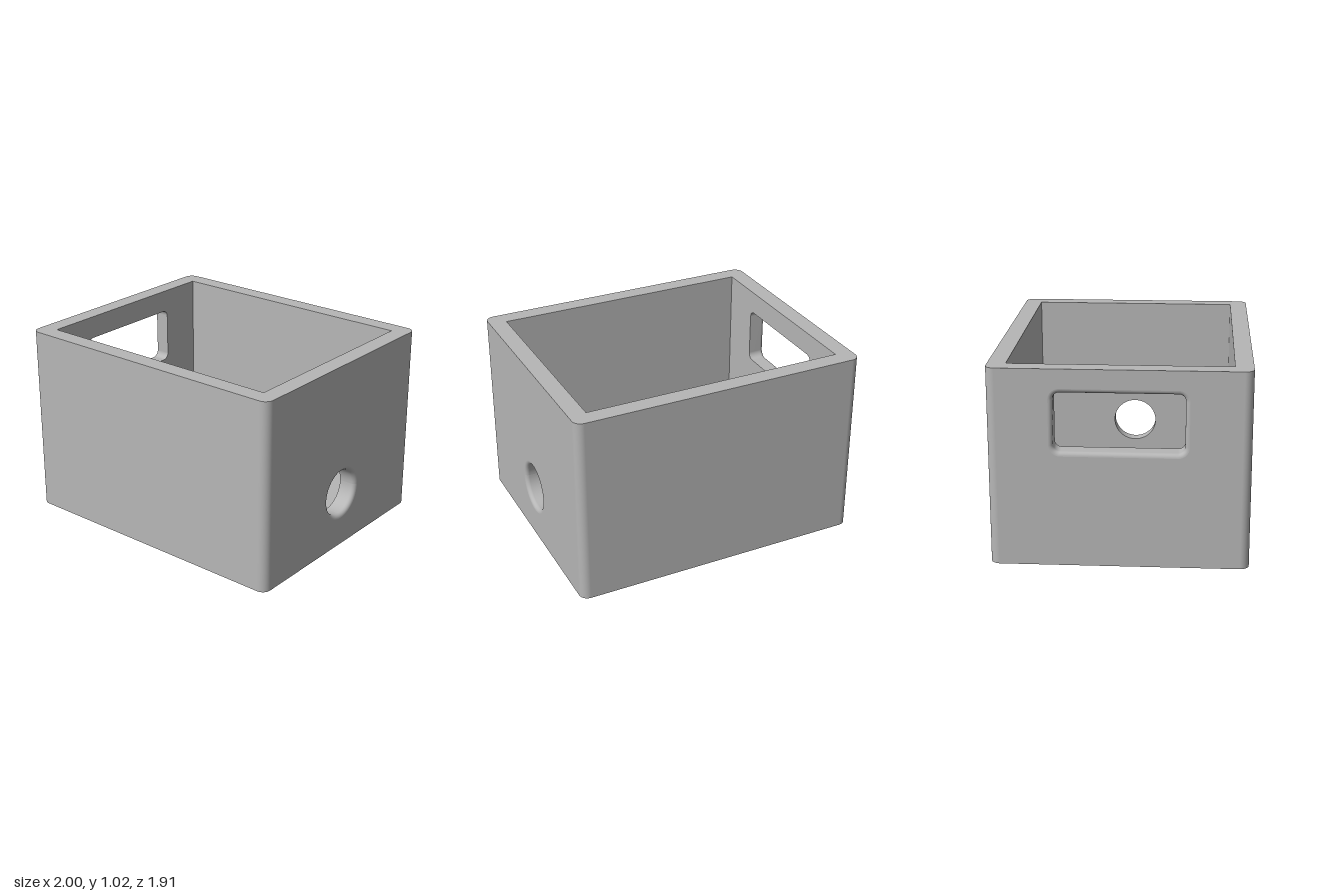
import * as THREE from 'three';

const L = 1.584, W = 1.305, H = 1.025;  // outer length, width, height
const T = 0.093;                        // wall and floor thickness
const R = 0.0466;                       // radius of the upright corners
const LIP = 0.022;                      // rounding of the opening edges

const material = new THREE.MeshStandardMaterial({ color: 0xb6b6b6 });
material.name = 'plain grey';

// Counter-clockwise rounded rectangle; a circle when all sizes are equal
function outline(hw, hh, r, cy = 0, steps = 16) {
  const points = [];
  for (let k = 0; k < 4; k++) {
    const sx = k === 0 || k === 3 ? 1 : -1, sy = k < 2 ? 1 : -1;
    for (let i = 0; i <= steps; i++) {
      const a = (k + i / steps) * Math.PI / 2;
      points.push(new THREE.Vector2(sx * (hw - r) + r * Math.cos(a), cy + sy * (hh - r) + r * Math.sin(a)));
    }
  }
  return points;
}

// Outline of an opening, enlarged by d
const openingOutline = (o, d) => outline(o.hw + d, o.hh + d, o.r + d, o.cy);

function mesh(name, geometry, parent) {
  const m = new THREE.Mesh(geometry, material);
  m.name = name;
  parent.add(m);
  return m;
}

// Flat upright panel between two heights, with an optional hole
function panel(width, y0, y1, hole) {
  const w = width / 2;
  const shape = new THREE.Shape([[-w, y0], [w, y0], [w, y1], [-w, y1]].map(p => new THREE.Vector2(...p)));
  if (hole) shape.holes.push(new THREE.Path(hole));
  return new THREE.ShapeGeometry(shape);
}

// Inside of an opening: rounded outer lip, then straight through the wall
function openingLining(o) {
  const sections = [];
  for (let i = 0; i <= 6; i++) {
    const a = i / 6 * Math.PI / 2;
    sections.push([LIP * (1 - Math.sin(a)), LIP * (1 - Math.cos(a))]);
  }
  sections.push([0, T]);
  const positions = [], index = [];
  const n = openingOutline(o, 0).length;
  sections.forEach(([grow, depth], i) => {
    openingOutline(o, grow).forEach((p, j) => {
      positions.push(p.x, p.y, -depth);
      if (i === sections.length - 1) return;
      const a = i * n + j, b = i * n + (j + 1) % n, c = a + n, d = b + n;
      index.push(a, b, c, b, d, c);
    });
  });
  const g = new THREE.BufferGeometry();
  g.setAttribute('position', new THREE.Float32BufferAttribute(positions, 3));
  g.setIndex(index);
  g.computeVertexNormals();
  return g;
}

// Wall with outer and inner face; local +z points outward
function wall(name, length, distance, angle, opening) {
  const g = new THREE.Group();
  g.name = name;
  mesh(name + 'Outside', panel(length - 2 * R, 0, H, opening && openingOutline(opening, LIP)), g);
  const inside = mesh(name + 'Inside', panel(length - 2 * T, T, H, opening && openingOutline(opening, 0)), g);
  inside.position.z = -T;
  inside.rotation.y = Math.PI;
  if (opening) mesh(name + 'Opening', openingLining(opening), g);
  g.rotation.y = angle;
  g.position.set(Math.sin(angle) * distance, 0, Math.cos(angle) * distance);
  return g;
}

export function createModel() {
  const model = new THREE.Group();
  model.name = 'openBox';
  const box = new THREE.Group();
  box.name = 'boxBody';
  box.rotation.y = THREE.MathUtils.degToRad(-32);
  model.add(box);

  // Four walls: a round hole in one end, a hand slot in the other
  const roundHole = { hw: 0.124, hh: 0.124, r: 0.124, cy: 0.303 };
  const handSlot = { hw: 0.325, hh: 0.151, r: 0.035, cy: 0.752 };
  box.add(
    wall('sideWallA', L, W / 2, 0),
    wall('sideWallB', L, W / 2, Math.PI),
    wall('holeWall', W, L / 2, Math.PI / 2, roundHole),
    wall('slotWall', W, L / 2, -Math.PI / 2, handSlot),
  );

  // Rounded upright corners
  for (let k = 0; k < 4; k++) {
    const a = k * Math.PI / 2;
    const corner = mesh('corner', new THREE.CylinderGeometry(R, R, H, 12, 1, true, a, Math.PI / 2), box);
    corner.position.set(
      Math.sign(Math.sin(a + Math.PI / 4)) * (L / 2 - R), H / 2,
      Math.sign(Math.cos(a + Math.PI / 4)) * (W / 2 - R));
  }

  // Top rim
  const footprint = outline(L / 2, W / 2, R, 0, 12);
  const rimShape = new THREE.Shape(footprint);
  const iw = L / 2 - T, id = W / 2 - T;
  rimShape.holes.push(new THREE.Path([[-iw, -id], [-iw, id], [iw, id], [iw, -id]].map(p => new THREE.Vector2(...p))));
  const rim = mesh('rim', new THREE.ShapeGeometry(rimShape), box);
  rim.rotation.x = -Math.PI / 2;
  rim.position.y = H;

  // Underside and inner floor
  mesh('underside', new THREE.ShapeGeometry(new THREE.Shape(footprint)), box).rotation.x = Math.PI / 2;
  const floor = mesh('floor', new THREE.PlaneGeometry(2 * iw, 2 * id), box);
  floor.rotation.x = -Math.PI / 2;
  floor.position.y = T;

  return model;
}
